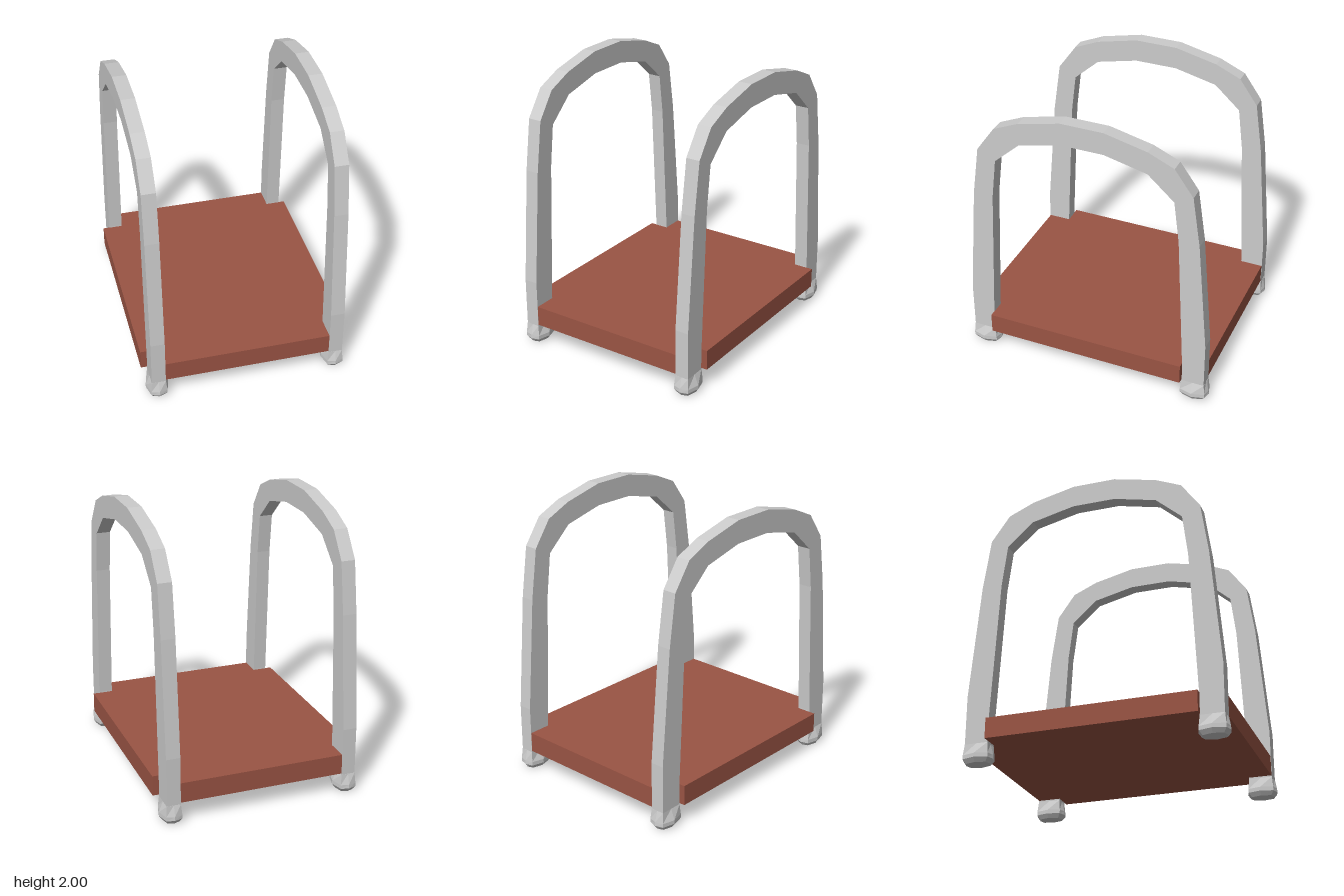
import * as THREE from 'three';

const grey = new THREE.MeshStandardMaterial({ color: 0xcccccc, flatShading: true });
const red = new THREE.MeshStandardMaterial({ color: 0x9a5444, flatShading: true });

const RAIL_X = 0.645, FOOT_Z = 0.813, RAIL_WIDTH = 0.1;

// Closed shape from a list of points
const shapeOf = (pts) => new THREE.Shape(pts.map(([a, b]) => new THREE.Vector2(a, b)));
const mirrored = (pts) => pts.map(([a, b]) => [-a, b]).reverse();

// Arched rail: half outlines as [z, y], mirrored front to back
function railGeometry() {
  const outer = [[0.895, 0.12], [0.895, 0.48], [0.825, 1.3], [0.772, 1.665], [0.64, 1.85], [0.457, 1.93], [0.153, 2]];
  const inner = [[0.73, 0.12], [0.73, 0.3], [0.68, 1.3], [0.643, 1.6], [0.457, 1.767], [0.153, 1.838]];
  const arch = [...outer, ...mirrored(outer), ...mirrored(inner).reverse(), ...[...inner].reverse()];
  const geo = new THREE.ExtrudeGeometry(shapeOf(arch), { depth: RAIL_WIDTH, bevelEnabled: false });
  geo.translate(0, 0, -RAIL_WIDTH / 2);
  geo.rotateY(-Math.PI / 2);
  return geo;
}

// Flared foot: eight-sided rings [y, half x, half z, corner x, corner z]
function footGeometry() {
  const rings = [
    [0, 0.06, 0.085, 0.042, 0.07],
    [0.03, 0.08, 0.107, 0.057, 0.09],
    [0.058, 0.08, 0.105, 0.057, 0.09],
    [0.135, 0.05, 0.083, 0.05, 0.083],
  ];
  const pos = [], index = [];
  for (const [y, hx, hz, cx, cz] of rings) {
    for (let i = 0; i < 8; i++) {
      const a = (i * Math.PI) / 4;
      const sx = Math.sign(Math.round(Math.sin(a) * 10)), sz = Math.sign(Math.round(Math.cos(a) * 10));
      pos.push(sx * (i % 2 ? cx : hx), y, sz * (i % 2 ? cz : hz));
    }
  }
  const top = (rings.length - 1) * 8;
  for (let r = 0; r < top; r += 8) {
    for (let i = 0; i < 8; i++) {
      const j = (i + 1) % 8;
      index.push(r + i, r + j, r + 8 + j, r + i, r + 8 + j, r + 8 + i);
    }
  }
  // Flat bottom and top, fanned from the ring's centre
  pos.push(0, 0, 0, 0, 0.135, 0);
  for (let i = 0; i < 8; i++) {
    const j = (i + 1) % 8;
    index.push(top + 8, j, i, top + 9, top + i, top + j);
  }
  const geo = new THREE.BufferGeometry();
  geo.setAttribute('position', new THREE.Float32BufferAttribute(pos, 3));
  geo.setIndex(index);
  geo.computeVertexNormals();
  return geo;
}

// Deck board with a notch at each corner for the legs
function deckGeometry() {
  const right = [[0.74, -0.732], [0.74, 0.732], [0.598, 0.732], [0.598, 0.893]];
  const plan = [[0.598, -0.893], [0.598, -0.732], ...right];
  const geo = new THREE.ExtrudeGeometry(shapeOf([...plan, ...mirrored(plan)]), { depth: 0.145, bevelEnabled: false });
  geo.rotateX(-Math.PI / 2);
  geo.translate(0, 0.145, 0);
  return geo;
}

export function createModel() {
  const model = new THREE.Group();
  model.name = 'railedPlatform';
  const add = (name, geo, mat, x = 0, z = 0) => {
    const mesh = new THREE.Mesh(geo, mat);
    mesh.name = name;
    mesh.position.set(x, 0, z);
    model.add(mesh);
  };

  add('deck', deckGeometry(), red);
  const rail = railGeometry(), foot = footGeometry();
  for (const [side, sx] of [['left', 1], ['right', -1]]) {
    add(side + 'Rail', rail, grey, sx * RAIL_X);
    add(side + 'FrontFoot', foot, grey, sx * RAIL_X, FOOT_Z);
    add(side + 'BackFoot', foot, grey, sx * RAIL_X, -FOOT_Z);
  }
  return model;
}
